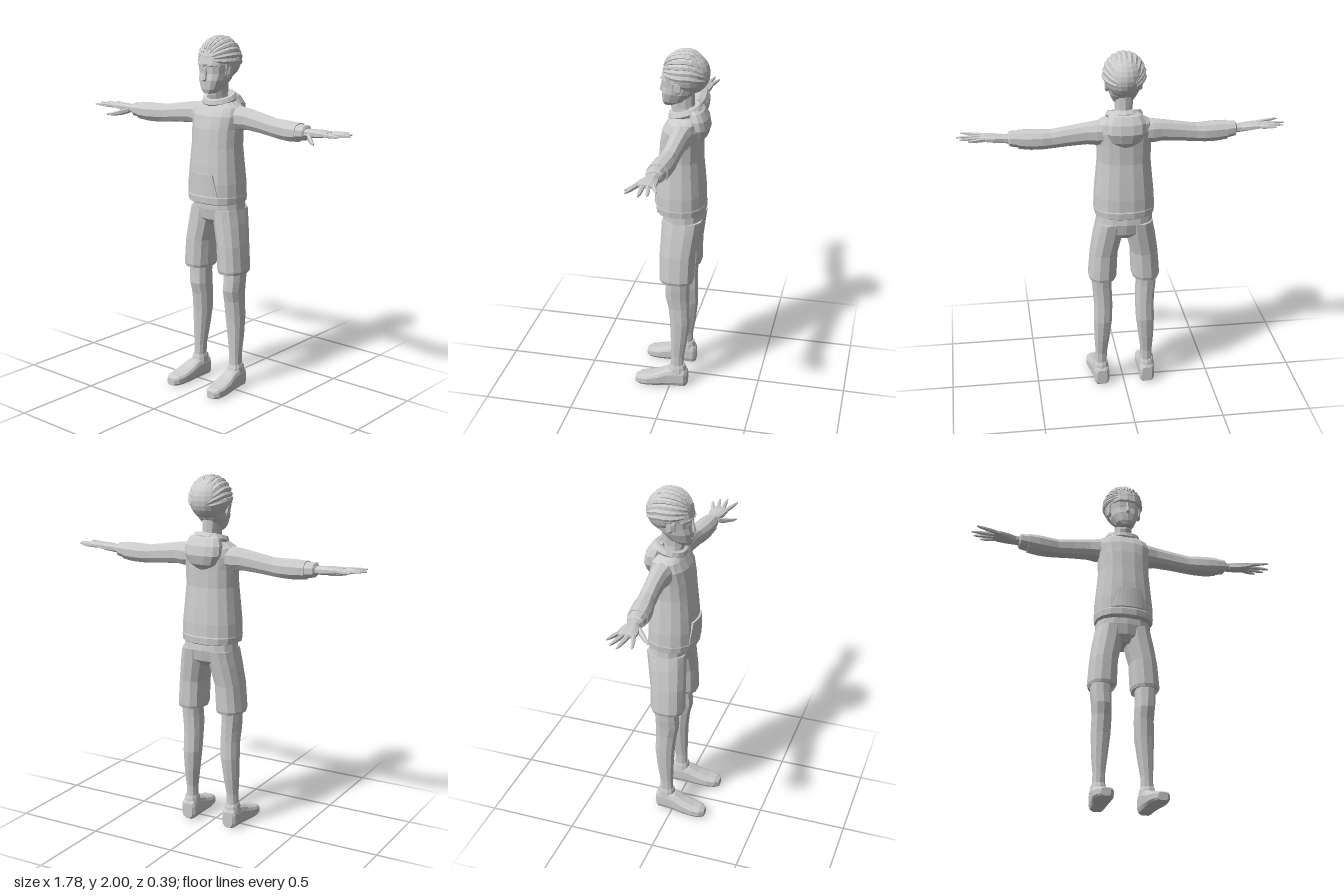
import * as THREE from 'three';

const X = new THREE.Vector3(1, 0, 0), Y = new THREE.Vector3(0, 1, 0), Z = new THREE.Vector3(0, 0, 1);

// Skin a closed tube through rings [cx, cy, cz, radiusU, radiusV, U?, V?]; facets are kept flat.
// p < 1 squares the rings off.
function loft(rings, U, V, n = 10, p = 0.85) {
  const pos = [], idx = [];
  const soft = a => Math.sign(a) * Math.abs(a) ** p;
  for (const [x, y, z, ru, rv, u = U, v = V] of rings) {
    for (let i = 0; i < n; i++) {
      const a = (i + 0.5) / n * Math.PI * 2;
      const q = new THREE.Vector3(x, y, z)
        .addScaledVector(u, soft(Math.cos(a)) * ru)
        .addScaledVector(v, soft(Math.sin(a)) * rv);
      pos.push(q.x, q.y, q.z);
    }
  }
  const m = rings.length;
  for (let r = 0; r < m - 1; r++) {
    for (let i = 0; i < n; i++) {
      const a = r * n + i, b = r * n + (i + 1) % n;
      idx.push(a, b, a + n, b, b + n, a + n);
    }
  }
  for (let i = 1; i < n - 1; i++) {
    const e = (m - 1) * n;
    idx.push(0, i + 1, i, e, e + i, e + i + 1);
  }
  // Make every surface face outwards, whichever way the rings run
  const P = k => new THREE.Vector3().fromArray(pos, k * 3);
  let volume = 0;
  for (let i = 0; i < idx.length; i += 3) volume += P(idx[i]).dot(P(idx[i + 1]).cross(P(idx[i + 2])));
  if (volume < 0) idx.reverse();
  const g = new THREE.BufferGeometry();
  g.setAttribute('position', new THREE.Float32BufferAttribute(pos, 3));
  g.setIndex(idx);
  return flat(g);
}

function flat(g) {
  const f = g.index ? g.toNonIndexed() : g;
  f.computeVertexNormals();
  return f;
}

export function createModel() {
  const model = new THREE.Group();
  model.name = 'figure';
  const grey = new THREE.MeshStandardMaterial({ color: 0xcccccc });
  grey.name = 'light grey';
  const add = (name, geometry) => {
    const mesh = new THREE.Mesh(geometry, grey);
    mesh.name = name;
    model.add(mesh);
    return mesh;
  };
  // Rings stacked upwards: [y, cz, rx, rz]
  const stack = (name, rows, n, p) =>
    add(name, loft(rows.map(([y, z, rx, rz]) => [0, y, z, rx, rz]), X, Z, n, p));

  // Sweatshirt
  stack('torso', [
    [1.12, -0.037, 0.167, 0.137], [1.2, -0.036, 0.165, 0.137], [1.3, -0.035, 0.155, 0.13],
    [1.4, -0.035, 0.146, 0.12], [1.5, -0.04, 0.148, 0.116], [1.57, -0.047, 0.158, 0.108],
    [1.615, -0.055, 0.148, 0.09], [1.65, -0.06, 0.085, 0.075]], 16);
  stack('waistband', [[1.085, -0.037, 0.15, 0.13], [1.09, -0.037, 0.164, 0.138],
    [1.125, -0.037, 0.168, 0.14], [1.135, -0.037, 0.165, 0.135]], 16);
  const pocket = new THREE.BoxGeometry(0.2, 0.12, 0.012, 8, 1, 1);
  const pp = pocket.attributes.position;
  for (let i = 0; i < pp.count; i++) {
    const x = pp.getX(i) * (pp.getY(i) > 0 ? 0.72 : 1);
    pp.setX(i, x);
    pp.setZ(i, pp.getZ(i) - 0.034 + 0.138 * Math.sqrt(1 - (x / 0.175) ** 2));
  }
  pocket.translate(0, 1.195, 0);
  add('frontPocket', flat(pocket));

  // Hood lying on the back, with its rolled collar
  stack('hood', [[1.5, -0.135, 0.035, 0.02], [1.53, -0.14, 0.08, 0.04], [1.58, -0.14, 0.108, 0.054],
    [1.63, -0.13, 0.108, 0.055], [1.67, -0.115, 0.09, 0.045], [1.69, -0.1, 0.06, 0.02]], 12);
  const collar = new THREE.TorusGeometry(0.08, 0.022, 6, 16).rotateX(Math.PI / 2);
  collar.scale(1, 1.1, 0.95).rotateX(0.28).translate(0, 1.655, -0.055);
  add('collar', flat(collar));

  // Shorts seat
  stack('shortsSeat', [[0.955, -0.05, 0.05, 0.07], [0.99, -0.052, 0.14, 0.105],
    [1.05, -0.053, 0.156, 0.116], [1.11, -0.05, 0.153, 0.112]], 14);

  // Head and neck
  stack('neck', [[1.62, -0.06, 0.056, 0.065], [1.68, -0.04, 0.046, 0.065], [1.76, -0.04, 0.05, 0.065]], 10);
  stack('head', [[1.692, 0.025, 0.03, 0.036], [1.715, 0.005, 0.054, 0.064], [1.765, -0.018, 0.077, 0.09],
    [1.8, -0.032, 0.083, 0.096], [1.838, -0.034, 0.088, 0.1], [1.85, -0.035, 0.09, 0.109],
    [1.91, -0.05, 0.09, 0.11], [1.95, -0.055, 0.07, 0.09]], 14, 0.78);
  stack('nose', [[1.758, 0.068, 0.008, 0.008], [1.768, 0.072, 0.013, 0.015],
    [1.835, 0.062, 0.006, 0.009]], 6);
  add('mouth', flat(new THREE.BoxGeometry(0.04, 0.004, 0.008).translate(0, 1.732, 0.066)));

  // Hair: a cap cut off along a sloping hairline
  const cap = new THREE.SphereGeometry(1, 20, 14).scale(0.107, 0.118, 0.128).translate(0, 1.87, -0.06);
  const cp = cap.attributes.position;
  for (let i = 0; i < cp.count; i++) {
    cp.setY(i, Math.max(cp.getY(i), 1.835 + 0.55 * cp.getZ(i)));
  }
  add('hairCap', flat(cap));

  // Swept-back locks running from the forehead to the nape
  const locks = 13;
  for (let k = 0; k < locks; k++) {
    const s = k / (locks - 1) * 2 - 1, phi = s * 1.62;
    const side = new THREE.Vector3(Math.cos(phi), -Math.sin(phi), 0);
    const rings = [];
    for (let j = 0; j <= 8; j++) {
      const t = 0.42 + (k % 2) * 0.12 + j / 8 * 2.2;
      const out = new THREE.Vector3(Math.sin(phi) * Math.sin(t), Math.cos(phi) * Math.sin(t), Math.cos(t));
      const w = Math.sin(0.12 + j / 8 * 2.75);
      rings.push([out.x * 0.107, 1.872 + out.y * 0.116 - (j > 5 ? (j - 5) * 0.008 : 0),
        -0.058 + out.z * 0.123, 0.004 + 0.013 * w, 0.006 + 0.006 * w, side, out]);
    }
    add('hairLock', loft(rings, X, Y, 6, 1));
  }

  for (const s of [1, -1]) {
    const label = s > 0 ? 'left' : 'right';
    // Rings mirrored to one side
    const part = (name, rows, U, V, n, p) =>
      add(label + name, loft(rows.map(([x, ...r]) => [x * s, ...r]), U, V, n, p));

    // Face details
    part('Brow', [[0.008, 1.842, 0.068, 0.008, 0.004], [0.045, 1.848, 0.064, 0.009, 0.006],
      [0.08, 1.842, 0.03, 0.007, 0.004]], Z, Y, 6);
    add(label + 'Eye', flat(new THREE.BoxGeometry(0.028, 0.008, 0.008)
      .rotateY(s * 0.25).translate(s * 0.037, 1.818, 0.058)));
    part('Ear', [[0.075, 1.805, -0.025, 0.014, 0.025], [0.093, 1.81, -0.03, 0.02, 0.034],
      [0.1, 1.812, -0.034, 0.014, 0.026]], Z, Y, 8);
    part('Sideburn', [[0.082, 1.875, -0.012, 0.012, 0.024], [0.09, 1.83, -0.01, 0.007, 0.014],
      [0.084, 1.79, -0.006, 0.003, 0.005]], X, Z, 6);

    // Sleeve and cuff
    part('Sleeve', [[0.1, 1.56, -0.06, 0.065, 0.06], [0.15, 1.558, -0.06, 0.062, 0.066],
      [0.2, 1.558, -0.06, 0.052, 0.06], [0.3, 1.546, -0.056, 0.047, 0.055],
      [0.39, 1.533, -0.05, 0.047, 0.052], [0.44, 1.531, -0.045, 0.054, 0.054],
      [0.5, 1.53, -0.037, 0.057, 0.055], [0.565, 1.532, -0.031, 0.055, 0.05]], Z, Y, 10);
    part('Cuff', [[0.555, 1.533, -0.03, 0.05, 0.042], [0.565, 1.533, -0.03, 0.05, 0.044],
      [0.61, 1.536, -0.027, 0.045, 0.04], [0.618, 1.536, -0.027, 0.034, 0.028]], Z, Y, 10);

    // Hand with four spread fingers and a thumb
    part('Palm', [[0.6, 1.536, -0.026, 0.032, 0.024], [0.64, 1.537, -0.025, 0.034, 0.022],
      [0.69, 1.541, -0.02, 0.048, 0.021], [0.735, 1.545, -0.018, 0.053, 0.017],
      [0.765, 1.547, -0.017, 0.048, 0.011]], Z, Y, 8);
    const fingers = [[0.745, -0.058, 0.83, -0.088], [0.755, -0.032, 0.873, -0.055],
      [0.755, -0.005, 0.89, -0.013], [0.745, 0.02, 0.867, 0.055]];
    for (const [x0, z0, x1, z1] of fingers) {
      const at = (t, r, h) => [x0 + (x1 - x0) * t, 1.546 + 0.005 * t, z0 + (z1 - z0) * t, r, h];
      part('Finger', [at(-0.15, 0.011, 0.011), at(0.35, 0.0125, 0.011), at(0.75, 0.0095, 0.008),
        at(1, 0.004, 0.004)], Z, Y, 6);
    }
    part('Thumb', [[0.64, 1.53, -0.005, 0.018, 0.016], [0.675, 1.516, 0.032, 0.018, 0.016],
      [0.71, 1.508, 0.064, 0.014, 0.011], [0.738, 1.506, 0.088, 0.005, 0.005]], Z, Y, 6);

    // Shorts leg with hem
    part('ShortsLeg', [[0.122, 0.7, -0.035, 0.066, 0.085], [0.122, 0.688, -0.035, 0.074, 0.093],
      [0.122, 0.705, -0.035, 0.08, 0.098], [0.113, 0.85, -0.037, 0.077, 0.1],
      [0.09, 0.97, -0.048, 0.082, 0.107], [0.078, 1.05, -0.055, 0.077, 0.112]], X, Z, 12);

    // Bare leg
    part('Leg', [[0.128, 0.74, -0.045, 0.058, 0.068], [0.126, 0.64, -0.04, 0.056, 0.068],
      [0.122, 0.585, -0.038, 0.054, 0.07], [0.119, 0.52, -0.046, 0.053, 0.062],
      [0.122, 0.42, -0.053, 0.052, 0.058], [0.128, 0.3, -0.049, 0.043, 0.048],
      [0.132, 0.2, -0.042, 0.033, 0.038], [0.134, 0.1, -0.04, 0.033, 0.037]], X, Z, 10);

    // Shoe and its ankle opening
    part('Shoe', [[0.132, 0.055, -0.1, 0.03, 0.045], [0.133, 0.059, -0.085, 0.044, 0.059],
      [0.135, 0.06, -0.03, 0.046, 0.06], [0.138, 0.056, 0.015, 0.048, 0.056],
      [0.143, 0.043, 0.07, 0.053, 0.043], [0.147, 0.034, 0.13, 0.055, 0.034],
      [0.149, 0.03, 0.175, 0.046, 0.03], [0.15, 0.026, 0.2, 0.026, 0.022]], X, Y, 12, 0.6);
    part('ShoeCollar', [[0.134, 0.09, -0.042, 0.046, 0.055], [0.134, 0.125, -0.043, 0.041, 0.048],
      [0.134, 0.14, -0.043, 0.036, 0.042]], X, Z, 10);
  }
  return model;
}
